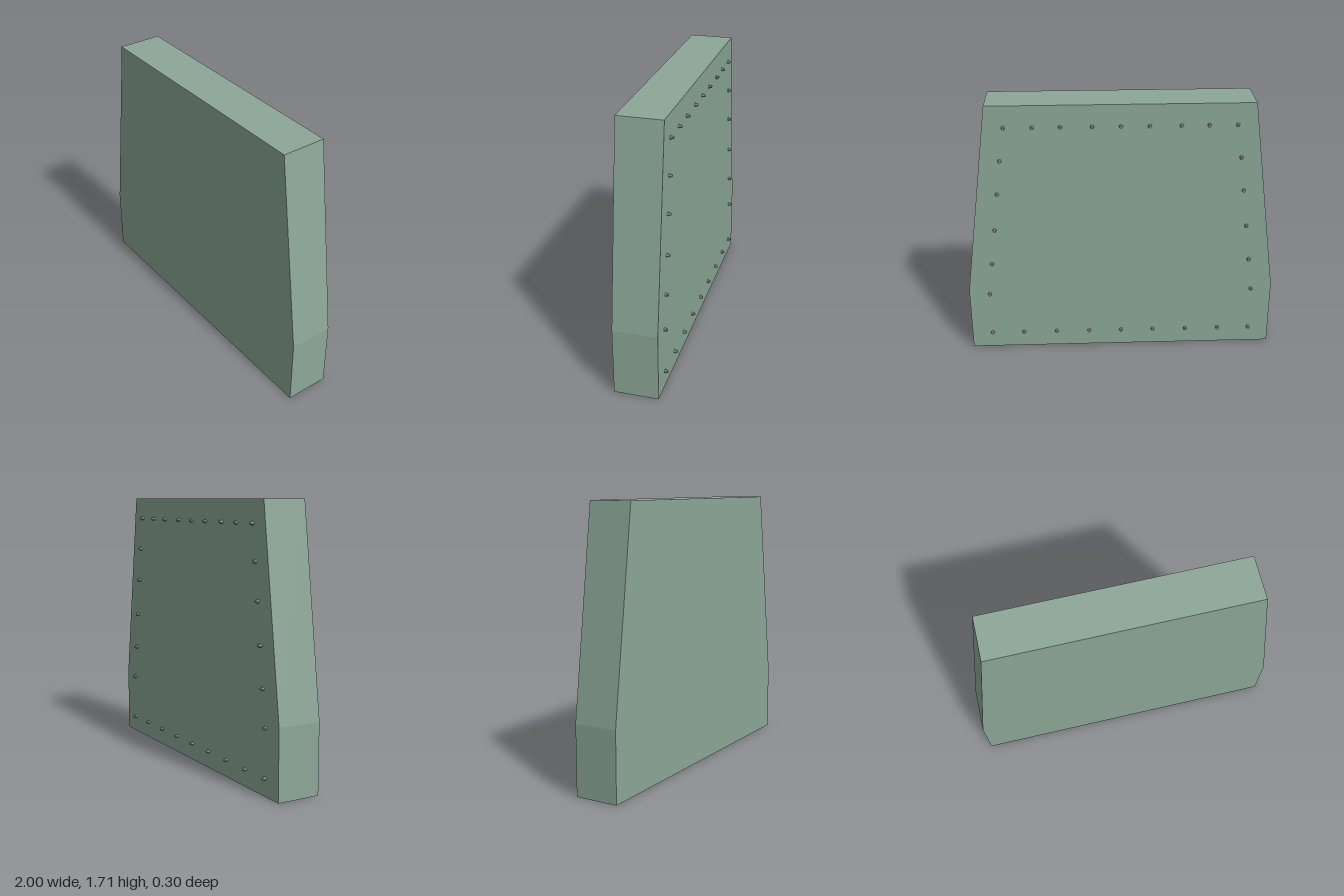
import * as THREE from 'three';

const FRONT = 0.15, BACK = -0.13;

export function createModel() {
  const group = new THREE.Group();
  const sageGreen = new THREE.MeshStandardMaterial({ color: 0x8ca797, flatShading: true });
  sageGreen.name = 'sageGreen';

  // Thick slab: straight lower sides, tapering above
  const outline = new THREE.Shape([
    [-1, 0], [1, 0], [1, 0.44], [0.825, 1.71], [-0.825, 1.71], [-1, 0.44],
  ].map(([x, y]) => new THREE.Vector2(x, y)));
  const slabGeometry = new THREE.ExtrudeGeometry(outline, { depth: FRONT - BACK, bevelEnabled: false });
  slabGeometry.translate(0, 0, BACK);
  const slab = new THREE.Mesh(slabGeometry, sageGreen);
  slab.name = 'slab';
  group.add(slab);

  // Small tapered rivets standing out of the back face
  const rivets = new THREE.Group();
  rivets.name = 'rivets';
  group.add(rivets);
  const rivetGeometry = new THREE.CylinderGeometry(0.008, 0.013, 0.022, 8);
  rivetGeometry.rotateX(-Math.PI / 2);
  const addRivet = (x, y) => {
    const rivet = new THREE.Mesh(rivetGeometry, sageGreen);
    rivet.name = 'rivet';
    rivet.position.set(x, y, BACK - 0.01);
    rivets.add(rivet);
  };

  // Bottom and top rows mirror about the centre
  const rows = [
    { y: 0.11, xs: [0.215, 0.435, 0.655, 0.865] },
    { y: 1.57, xs: [0.175, 0.37, 0.54, 0.715] },
  ];
  for (const { y, xs } of rows) {
    addRivet(0, y);
    for (const x of xs) for (const side of [-1, 1]) addRivet(side * x, y);
  }

  // Side columns follow the taper
  for (const y of [0.41, 0.635, 0.88, 1.13, 1.355]) {
    const x = 0.866 - (y - 0.41) * 0.125;
    for (const side of [-1, 1]) addRivet(side * x, y);
  }
  return group;
}
